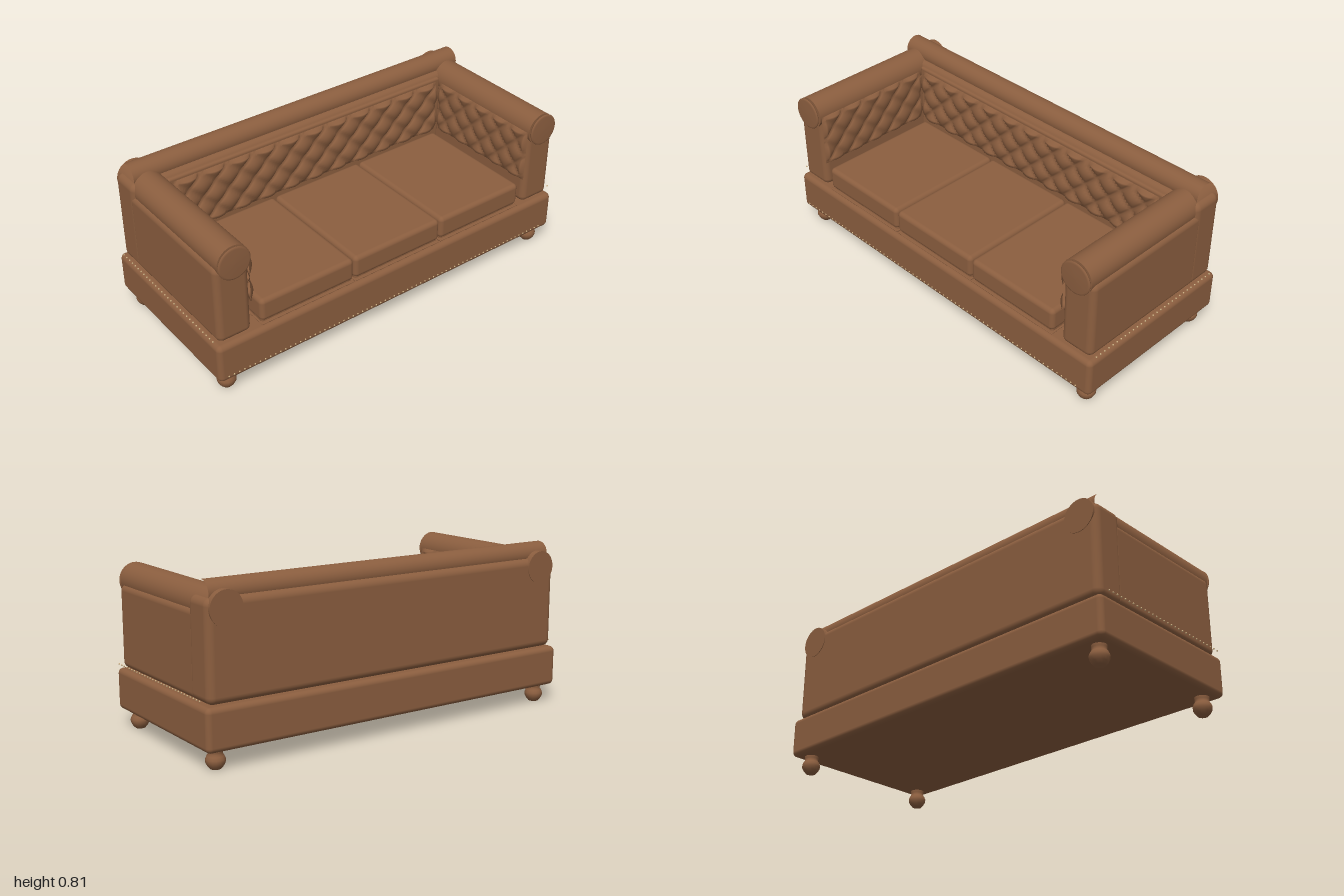
import * as THREE from 'three';
import { RoundedBoxGeometry } from 'three/addons/geometries/RoundedBoxGeometry.js';

const leather = new THREE.MeshStandardMaterial({ name: 'brown leather', color: 0x8b5e3f });
const brass = new THREE.MeshStandardMaterial({ name: 'pale brass', color: 0xcdb083 });

export function createModel() {
  const sofa = new THREE.Group();
  sofa.name = 'sofa';

  function add(name, geometry, x = 0, y = 0, z = 0, material = leather) {
    const mesh = new THREE.Mesh(geometry, material);
    mesh.name = name;
    mesh.position.set(x, y, z);
    sofa.add(mesh);
    return mesh;
  }

  // Rounded block given by its limits on each axis
  function block(name, [x0, x1], [y0, y1], [z0, z1], radius) {
    const geometry = new RoundedBoxGeometry(x1 - x0, y1 - y0, z1 - z0, 5, radius);
    return add(name, geometry, (x0 + x1) / 2, (y0 + y1) / 2, (z0 + z1) / 2);
  }

  // Diamond-tufted panel facing +z, flat along its border
  function tuftedPanel(width, height, columns, rows, depth) {
    const geometry = new THREE.PlaneGeometry(width, height, columns * 12, rows * 12);
    const p = geometry.attributes.position;
    for (let i = 0; i < p.count; i++) {
      const u = (p.getX(i) / width + 0.5) * columns;
      const v = (p.getY(i) / height + 0.5) * rows;
      const a = Math.abs(Math.sin(Math.PI * (u + v)));
      const b = Math.abs(Math.sin(Math.PI * (u - v)));
      const border = u < 0.01 || v < 0.01 || u > columns - 0.01 || v > rows - 0.01;
      p.setZ(i, border ? 0 : depth * (0.15 + 0.85 * Math.pow(a * b, 0.55)));
    }
    geometry.computeVertexNormals();
    return geometry;
  }

  // Base and backrest
  block('base', [-0.994, 0.994], [0.088, 0.285], [-0.435, 0.435], 0.025);
  block('backrest', [-0.975, 0.975], [0.287, 0.74], [-0.418, -0.25], 0.035);
  block('backrestPad', [-0.805, 0.805], [0.287, 0.722], [-0.27, -0.236], 0.012);
  add('backTufting', tuftedPanel(1.56, 0.28, 11, 2, 0.028), 0, 0.565, -0.235);

  // Open-ended roll along the top of the backrest
  const backRoll = add('backRoll',
    new THREE.CylinderGeometry(0.057, 0.057, 1.9, 32, 1, true), 0, 0.753, -0.335);
  backRoll.rotation.z = Math.PI / 2;

  // Seat cushions with piping along the lower edge
  for (let i = -1; i <= 1; i++) {
    const x = i * 0.509;
    block('seatCushion', [x - 0.252, x + 0.252], [0.31, 0.425], [-0.22, 0.422], 0.022);
    block('cushionUnderside', [x - 0.244, x + 0.244], [0.284, 0.33], [-0.21, 0.41], 0.01);
    block('cushionPiping', [x - 0.252, x + 0.252], [0.298, 0.304], [-0.22, 0.425], 0.003);
  }

  // Arms, mirrored left and right
  const discProfile = [[0, 0.007], [0.07, 0.006], [0.078, 0.003], [0.08, 0],
    [0.078, -0.004], [0.07, -0.006], [0, -0.006]].reverse()
    .map(([r, y]) => new THREE.Vector2(r, y));
  for (const side of [-1, 1]) {
    const xs = [side * 0.805, side * 0.974].sort((a, b) => a - b);
    block('arm', xs, [0.289, 0.682], [-0.3, 0.415], 0.03);

    const roll = add('armRoll', new THREE.CylinderGeometry(0.08, 0.08, 0.839, 40),
      side * 0.883, 0.694, -0.0015);
    roll.rotation.x = Math.PI / 2;

    const disc = add('armRollDisc', new THREE.LatheGeometry(discProfile, 40),
      side * 0.885, 0.694, 0.43);
    disc.rotation.x = Math.PI / 2;

    const tufting = add('armTufting', tuftedPanel(0.64, 0.27, 5, 2, 0.022),
      side * 0.803, 0.56, 0.09);
    tufting.rotation.y = -side * Math.PI / 2;
  }

  // Turned feet
  const footProfile = [[0, 0], [0.024, 0], [0.036, 0.014], [0.044, 0.03], [0.044, 0.044],
    [0.038, 0.058], [0.031, 0.068], [0.034, 0.076], [0.034, 0.09]]
    .map(([r, y]) => new THREE.Vector2(r, y));
  const footGeometry = new THREE.LatheGeometry(footProfile, 16);
  for (const x of [-0.92, 0.92]) {
    for (const z of [-0.362, 0.36]) add('foot', footGeometry, x, 0, z);
  }

  // Nail heads along the front of the base and beside each arm
  const nail = new THREE.SphereGeometry(0.004, 8, 6);
  for (let i = 0; i < 70; i++) add('frontNail', nail, -0.95 + i * 0.0271, 0.115, 0.436, brass);
  for (const side of [-1, 1]) {
    for (let i = 0; i < 30; i++) {
      add('sideNail', nail, side * 0.996, 0.309, -0.378 + i * 0.0268, brass);
    }
  }

  return sofa;
}
